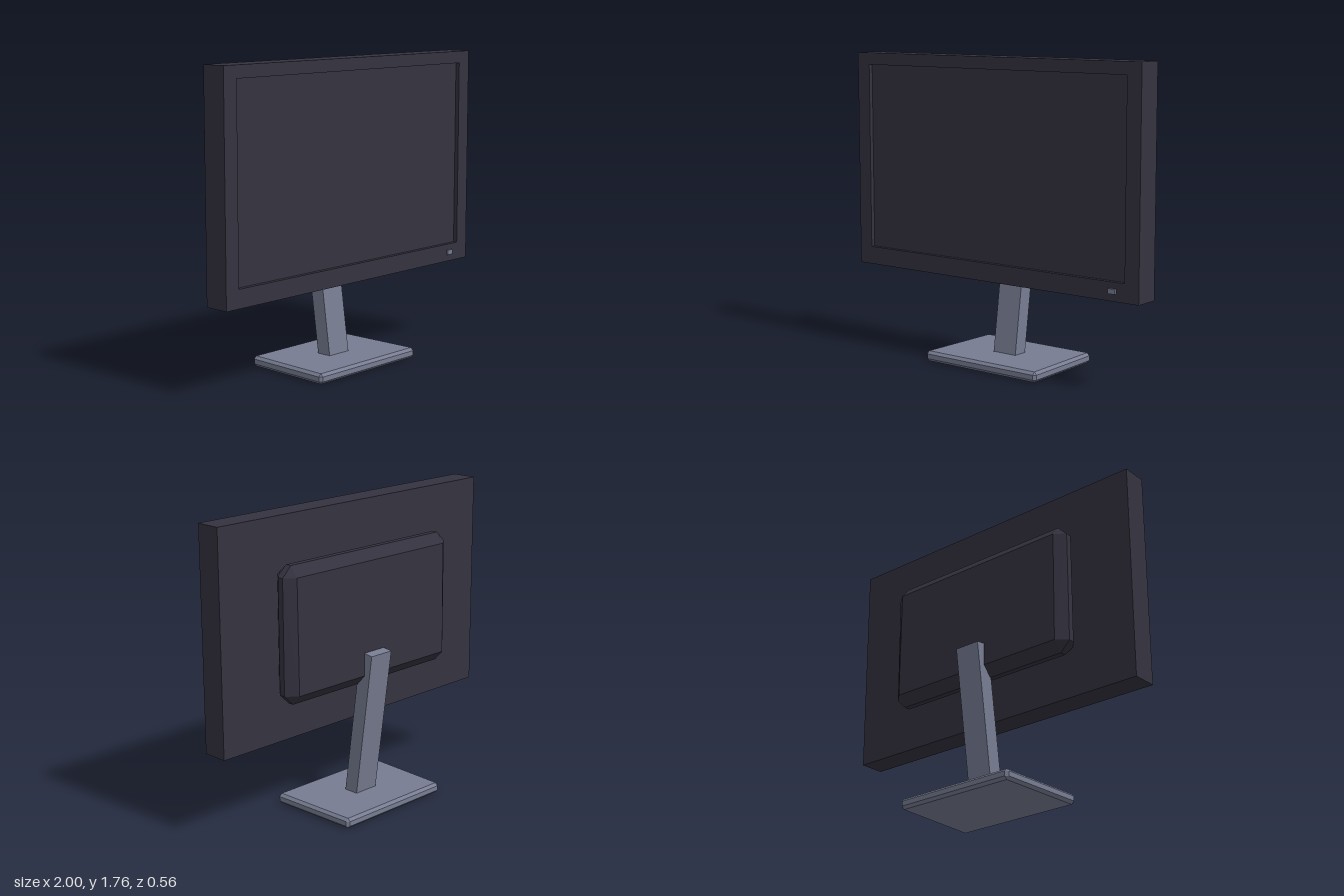
import * as THREE from 'three';
import { ConvexGeometry } from 'three/addons/geometries/ConvexGeometry.js';

const charcoal = new THREE.MeshStandardMaterial({ color: 0x34323f });
const slate = new THREE.MeshStandardMaterial({ color: 0x777c92 });

function addMesh(parent, name, geometry, material, x = 0, y = 0, z = 0) {
  const mesh = new THREE.Mesh(geometry, material);
  mesh.name = name;
  mesh.position.set(x, y, z);
  parent.add(mesh);
  return mesh;
}

// Chamfered block: half sizes and chamfer per axis; bend(p) may adjust each corner point.
function chamferedBox(half, chamfer, bend = () => {}) {
  const [hx, hy, hz] = half;
  const [cx, cy, cz] = chamfer;
  const points = [];
  for (const sx of [-1, 1]) for (const sy of [-1, 1]) for (const sz of [-1, 1]) {
    const corner = [
      [hx, hy - cy, hz - cz],
      [hx - cx, hy, hz - cz],
      [hx - cx, hy - cy, hz],
    ];
    for (const [x, y, z] of corner) {
      const p = new THREE.Vector3(sx * x, sy * y, sz * z);
      bend(p);
      points.push(p);
    }
  }
  return new ConvexGeometry(points);
}

export function createModel() {
  const model = new THREE.Group();
  model.name = 'monitor';

  // Display housing: a bezel around a slightly recessed screen
  const display = new THREE.Group();
  display.name = 'display';
  model.add(display);

  const rect = (path, x, y0, y1) =>
    path.moveTo(-x, y0).lineTo(x, y0).lineTo(x, y1).lineTo(-x, y1).closePath();
  const outline = rect(new THREE.Shape(), 1, 0.5, 1.765);
  outline.holes.push(rect(new THREE.Path(), 0.91, 0.605, 1.695));
  const recess = 0.025;
  addMesh(display, 'bezel',
    new THREE.ExtrudeGeometry(outline, { depth: 0.15, bevelEnabled: false }),
    charcoal, 0, 0, 0.03);
  addMesh(display, 'screen',
    new THREE.BoxGeometry(1.82, 1.09, 0.15 - recess),
    charcoal, 0, 1.15, 0.03 + (0.15 - recess) / 2);
  addMesh(display, 'powerButton', new THREE.BoxGeometry(0.045, 0.028, 0.015),
    slate, 0.833, 0.555, 0.1835);

  // Rear housing, its back face leaning slightly
  addMesh(display, 'rearHousing',
    chamferedBox([0.638, 0.388, 0.069], [0.06, 0.06, 0.051], (p) => {
      if (p.z < -0.06) p.z += 0.004 * Math.sign(p.y);
      if (p.z > 0.06) p.x *= 1.03;
    }),
    charcoal, 0, 1.12, -0.038);

  // Leaning stand post
  const postLength = 0.9;
  const lean = 0.14;
  const post = addMesh(model, 'standPost', new THREE.BoxGeometry(0.158, postLength, 0.09),
    slate, 0, 0.478, -0.06);
  post.rotation.x = -lean;

  // Base plate, a little narrower at the back
  addMesh(model, 'base',
    chamferedBox([0.39, 0.03, 0.28], [0.016, 0.016, 0.016], (p) => {
      p.x *= 1 + 0.09 * p.z;
    }),
    slate, 0, 0.03, 0);

  return model;
}
